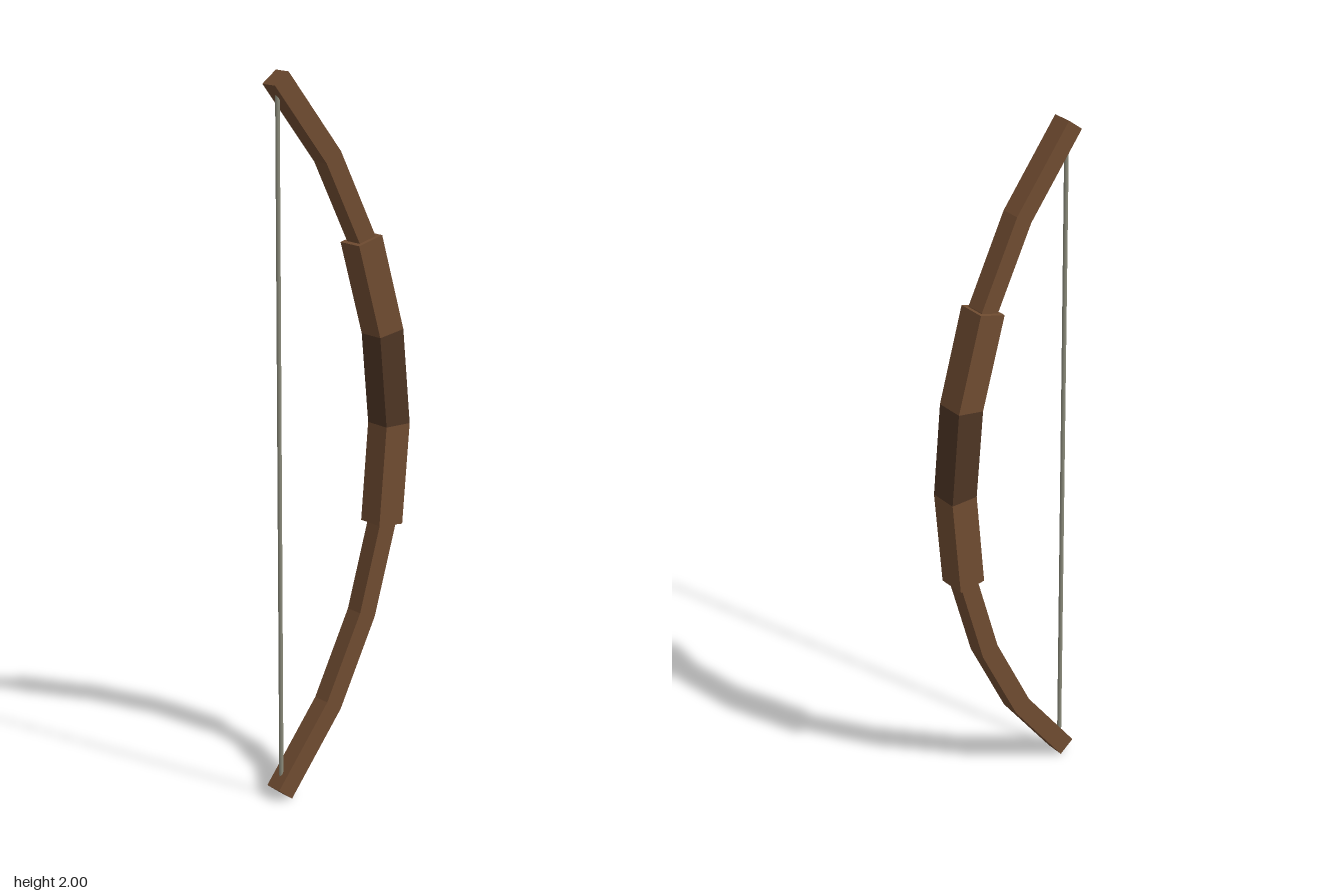
import * as THREE from 'three';

const WOOD = 0x704c31;
const DARK_WOOD = 0x4e3524;

// Mitred front and back edges of a [z, y] centre line
function edges(points, thickness) {
  const p = points.map(([z, y]) => new THREE.Vector2(z, y));
  const normal = (a, b) => new THREE.Vector2(b.y - a.y, a.x - b.x).normalize();
  const front = [], back = [];
  p.forEach((c, i) => {
    const n1 = normal(p[Math.max(i - 1, 0)], p[Math.max(i, 1)]);
    const last = p.length - 1;
    const n2 = normal(p[Math.min(i, last - 1)], p[Math.min(i + 1, last)]);
    const n = n1.clone().add(n2).normalize();
    n.multiplyScalar(thickness / 2 / n.dot(n1));
    front.push(c.clone().add(n));
    back.push(c.clone().sub(n));
  });
  return { front, back };
}

// Side outline in the z-y plane, extruded across x
function plank(name, front, back, width, color) {
  const shape = new THREE.Shape([...front, ...back.slice().reverse()]);
  const geometry = new THREE.ExtrudeGeometry(shape, { depth: width, bevelEnabled: false });
  geometry.translate(0, 0, -width / 2).rotateY(-Math.PI / 2);
  const mesh = new THREE.Mesh(geometry, new THREE.MeshStandardMaterial({ color, flatShading: true }));
  mesh.name = name;
  return mesh;
}

export function createModel() {
  const group = new THREE.Group();
  group.name = 'bow';

  const path = [
    [0.2, 0.0175], [0.032, 0.24], [-0.085, 0.48], [-0.156, 0.73], [-0.18, 1.01],
    [-0.156, 1.27], [-0.082, 1.533], [0.032, 1.765], [0.2, 1.9825],
  ];

  // Curved limb from tip to tip
  const limb = edges(path, 0.055);
  group.add(plank('limb', limb.front, limb.back, 0.055, WOOD));

  // Thicker grip in three sections, the middle one darker
  const grip = edges(path.slice(3, 7), 0.081);
  ['lowerGrip', 'middleGrip', 'upperGrip'].forEach((name, i) => {
    group.add(plank(name, grip.front.slice(i, i + 2), grip.back.slice(i, i + 2), 0.081,
      i === 1 ? DARK_WOOD : WOOD));
  });

  // Taut string between the tips
  const string = new THREE.Mesh(
    new THREE.CylinderGeometry(0.006, 0.006, 1.92, 8),
    new THREE.MeshStandardMaterial({ color: 0x8c8c7c }),
  );
  string.name = 'string';
  string.position.set(0, 1, 0.194);
  group.add(string);

  return group;
}
